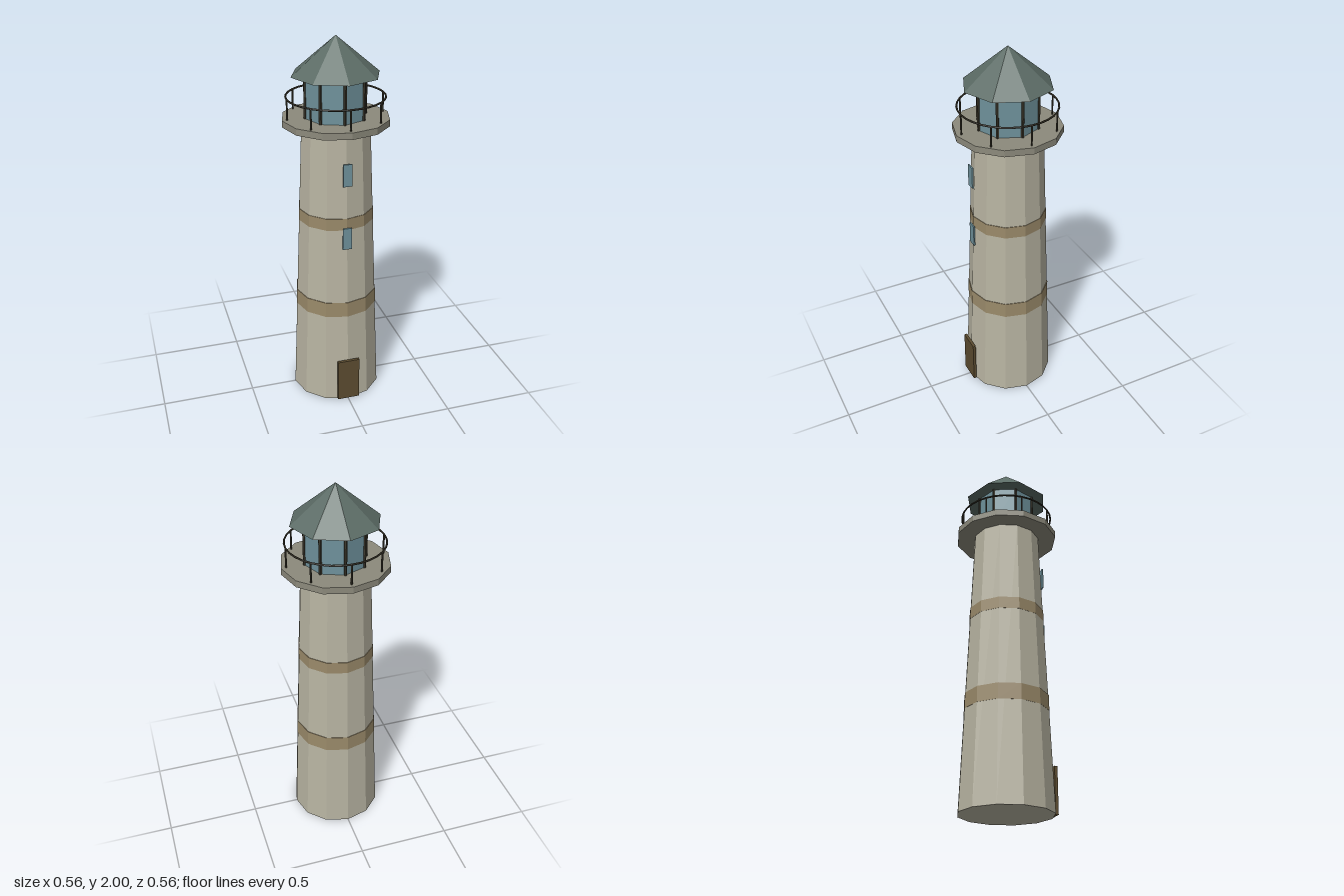
import * as THREE from 'three';

const mat = (color) => new THREE.MeshStandardMaterial({ color, flatShading: true });

export function createModel() {
  const model = new THREE.Group();
  const stone = mat(0xb8b4a2), band = mat(0x9a8a6a), slab = mat(0x8c8a7c);
  const wood = mat(0x5c4c30), glass = mat(0x6f929c), slate = mat(0x5c6c66), iron = mat(0x3c382c);

  const add = (name, geometry, material, x, y, z, parent = model) => {
    const mesh = new THREE.Mesh(geometry, material);
    mesh.name = name;
    mesh.position.set(x, y, z);
    parent.add(mesh);
    return mesh;
  };
  // Upright prism or cone frustum spanning y0..y1
  const drum = (name, rTop, rBottom, y0, y1, sides, material) =>
    add(name, new THREE.CylinderGeometry(rTop, rBottom, y1 - y0, sides), material, 0, (y0 + y1) / 2, 0);
  // Ring of identical upright posts
  const posts = (name, count, radius, thickness, y0, y1) => {
    const ring = new THREE.Group();
    ring.name = name;
    const geometry = new THREE.CylinderGeometry(thickness, thickness, y1 - y0, 6);
    for (let i = 0; i < count; i++) {
      const a = (i / count) * Math.PI * 2;
      add('post', geometry, iron, radius * Math.sin(a), (y0 + y1) / 2, radius * Math.cos(a), ring);
    }
    model.add(ring);
  };

  // Tapered tower with two painted bands
  const towerTop = 1.56;
  const towerRadius = (y) => 0.245 - (0.063 * y) / towerTop;
  drum('tower', towerRadius(towerTop), towerRadius(0), 0, towerTop, 12, stone);
  for (const [y0, y1] of [[0.525, 0.61], [1.033, 1.098]]) {
    drum('band', towerRadius(y1) + 0.003, towerRadius(y0) + 0.001, y0, y1, 12, band);
  }

  // Door and windows on the front
  add('door', new THREE.BoxGeometry(0.122, 0.246, 0.016), wood, 0, 0.131, 0.245);
  for (const y of [0.988, 1.341]) {
    add('window', new THREE.BoxGeometry(0.048, 0.119, 0.008), glass, 0, y, 0.21);
  }

  // Gallery deck with railing
  drum('galleryDeck', 0.281, 0.281, 1.553, 1.588, 12, slab);
  posts('railingPosts', 8, 0.254, 0.005, 1.588, 1.694);
  const rail = add('railing', new THREE.TorusGeometry(0.254, 0.005, 6, 32), iron, 0, 1.694, 0);
  rail.rotation.x = Math.PI / 2;

  // Glazed lantern room and pointed roof
  drum('lanternGlass', 0.16, 0.16, 1.588, 1.81, 8, glass);
  posts('lanternPosts', 8, 0.16, 0.008, 1.588, 1.81);
  add('roof', new THREE.ConeGeometry(0.232, 0.195, 8), slate, 0, 1.9025, 0);

  return model;
}
